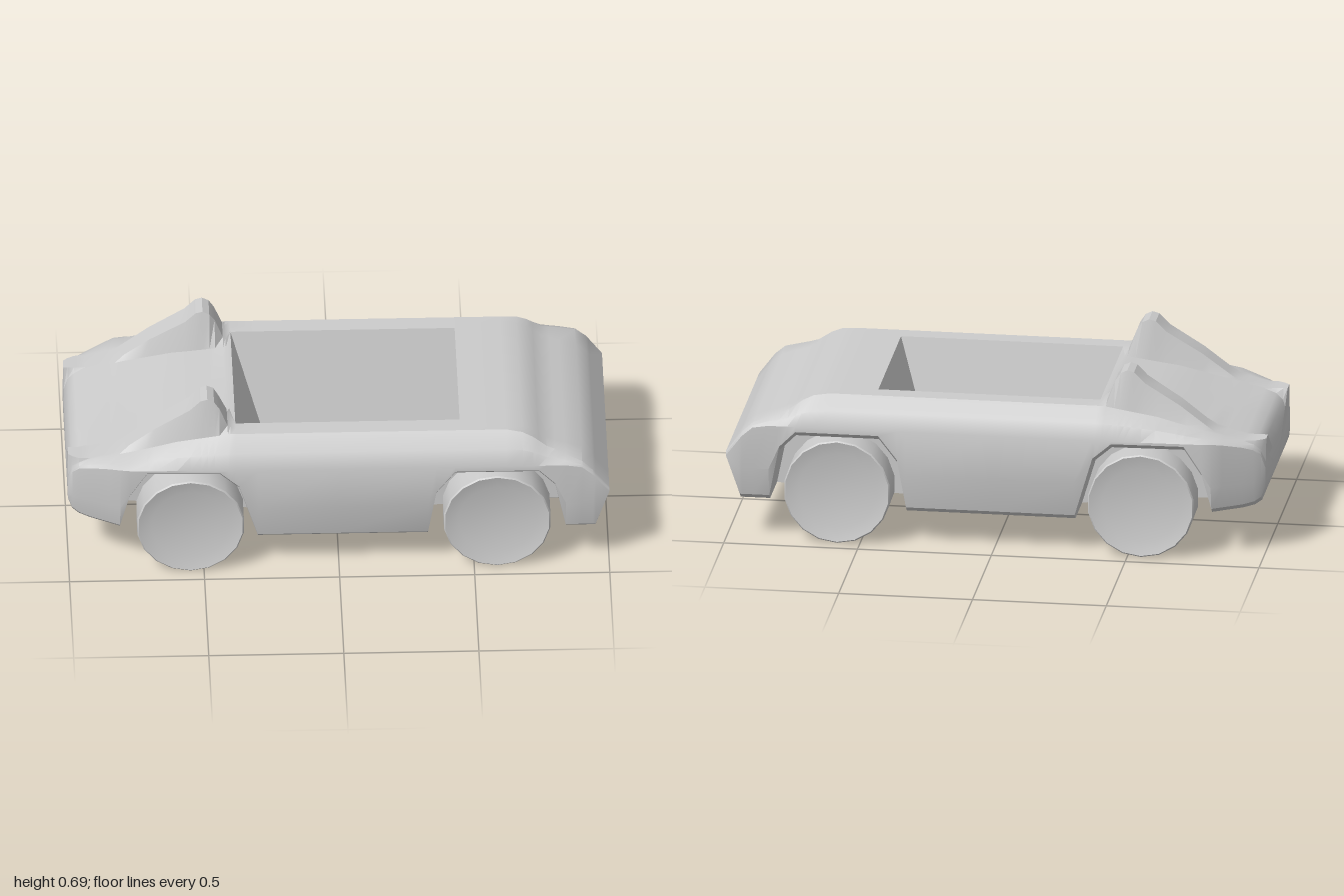
import * as THREE from 'three';
import { toCreasedNormals } from 'three/addons/utils/BufferGeometryUtils.js';

const { lerp } = THREE.MathUtils;

// Piecewise linear curve through [x, value] pairs
function curve(pairs) {
  return (x) => {
    if (x <= pairs[0][0]) return pairs[0][1];
    for (let i = 1; i < pairs.length; i++) {
      const [x0, v0] = pairs[i - 1], [x1, v1] = pairs[i];
      if (x <= x1) return lerp(v0, v1, (x - x0) / (x1 - x0));
    }
    return pairs[pairs.length - 1][1];
  };
}

// Lengthwise body curves (tail at -x, nose at +x)
const deckY = curve([[-1, 0.35], [-0.985, 0.4], [-0.96, 0.425], [-0.92, 0.44], [-0.78, 0.475], [-0.6, 0.525],
  [-0.4, 0.56], [0.62, 0.56], [0.68, 0.553], [0.72, 0.535], [0.77, 0.5], [0.9, 0.455], [0.94, 0.42], [1, 0.34]]);
const finY = curve([[-0.85, 0.44], [-0.78, 0.49], [-0.68, 0.565], [-0.55, 0.645], [-0.51, 0.685], [-0.485, 0.692],
  [-0.46, 0.68], [-0.44, 0.65], [-0.41, 0.575], [-0.39, 0.56], [0.5, 0.5], [1, 0.3]]);
const bellyY = curve([[-1, 0.24], [-0.985, 0.2], [-0.95, 0.178], [-0.81, 0.172], [-0.3, 0.125], [0.33, 0.125],
  [0.84, 0.15], [0.95, 0.15], [1, 0.31]]);
const archY = curve([[-0.81, 0.172], [-0.775, 0.32], [-0.71, 0.42], [-0.44, 0.42], [-0.37, 0.36], [-0.3, 0.125],
  [0.33, 0.125], [0.36, 0.32], [0.43, 0.41], [0.74, 0.41], [0.8, 0.35], [0.84, 0.15]]);
const halfWidth = curve([[-1, 0.33], [-0.98, 0.35], [-0.8, 0.44], [-0.4, 0.452], [0.95, 0.452], [1, 0.445]]);
const shoulderZ = curve([[-1, 0.31], [-0.97, 0.34], [-0.7, 0.36], [-0.4, 0.37], [0.63, 0.37], [0.8, 0.4],
  [0.92, 0.44], [1, 0.44]]);
const finInnerZ = curve([[-0.78, 0.26], [-0.55, 0.245], [-0.46, 0.24], [-0.39, 0.305]]);
const deckEdgeZ = curve([[-0.78, 0.245], [-0.55, 0.215], [-0.4, 0.2], [-0.38, 0.3], [0.45, 0.3], [1, 0.35]]);

const COCKPIT = { x0: -0.38, x1: 0.45, z: 0.3 };
const STATIONS = [-1, -0.985, -0.96, -0.92, -0.85, -0.81, -0.775, -0.71, -0.68, -0.6, -0.55, -0.51, -0.485,
  -0.46, -0.44, -0.41, -0.4, -0.38, -0.37, -0.3, 0, 0.33, 0.36, 0.43, 0.45, 0.62, 0.68, 0.72, 0.74, 0.77,
  0.8, 0.84, 0.9, 0.94, 0.95, 1];

// Half cross-section as [y, z], from belly centre round the side to deck centre
function halfSection(x) {
  const top = deckY(x), belly = bellyY(x), w = halfWidth(x), sh = Math.min(shoulderZ(x), w);
  const arch = Math.max(archY(x), belly), fin = Math.max(finY(x), top);
  const upper = Math.max(Math.min(0.45, top - 0.015), arch);
  const lip = Math.min(arch + 0.02, upper);
  const lower = Math.min(Math.max(0.28, lip), upper);
  const lipZ = w - 0.03 * THREE.MathUtils.clamp((0.28 - lip) / 0.13, 0, 1);
  const deckZ = deckEdgeZ(x);
  return [
    [belly, 0], [belly, 0.22], [arch, 0.22], [arch, lipZ - 0.025], [lip, lipZ],
    [lower, w], [upper, w], [lerp(upper, top, 0.55), lerp(w, sh, 0.3)], [top, sh],
    [fin, Math.min(0.335, sh - 0.005)], [fin, Math.min(finInnerZ(x), deckZ + 0.045)],
    [top, Math.min(deckZ, 0.3)], [top, 0],
  ];
}

function makeGeometry(positions, indices, crease) {
  const g = new THREE.BufferGeometry();
  g.setAttribute('position', new THREE.Float32BufferAttribute(positions, 3));
  g.setIndex(indices);
  return toCreasedNormals(g, crease);
}

// Body skin lofted through the stations, left open over the cockpit
function bodyGeometry() {
  const pos = [], idx = [];
  let n = 0, half = 0;
  for (const x of STATIONS) {
    const h = halfSection(x);
    const ring = [...h, ...h.slice(1, -1).reverse().map(([y, z]) => [y, -z])];
    half = h.length;
    n = ring.length;
    for (const [y, z] of ring) pos.push(x, y, z);
  }
  for (let i = 0; i < STATIONS.length - 1; i++) {
    const open = STATIONS[i] >= COCKPIT.x0 && STATIONS[i + 1] <= COCKPIT.x1;
    for (let j = 0; j < n; j++) {
      if (open && (j === half - 2 || j === half - 1)) continue;
      const k = (j + 1) % n, a = i * n, b = a + n;
      idx.push(a + j, b + j, b + k, a + j, b + k, a + k);
    }
  }
  const last = (STATIONS.length - 1) * n;
  for (let j = 1; j < n - 1; j++) {
    idx.push(0, j, j + 1);
    idx.push(last, last + j + 1, last + j);
  }
  return makeGeometry(pos, idx, 0.5);
}

// Tapered cockpit tub with its floor
function tubGeometry() {
  const pos = [], idx = [];
  const loop = (x0, x1, z, y) => pos.push(x0, y, -z, x0, y, z, x1, y, z, x1, y, -z);
  loop(COCKPIT.x0, COCKPIT.x1, COCKPIT.z, 0.56);
  loop(-0.26, 0.33, 0.2, 0.17);
  for (let j = 0; j < 4; j++) {
    const k = (j + 1) % 4;
    idx.push(j, k, k + 4, j, k + 4, j + 4);
  }
  idx.push(4, 5, 6, 4, 6, 7);
  return makeGeometry(pos, idx, 0.1);
}

// Wheel turned about its axle, outer face towards +z
function wheelGeometry() {
  const profile = [[0, -0.065], [0.19, -0.065], [0.2, -0.06], [0.2, 0.06], [0.195, 0.065],
    [0.145, 0.052], [0, 0.052]].map(([r, h]) => new THREE.Vector2(r, h));
  const g = new THREE.LatheGeometry(profile, 18);
  g.rotateX(Math.PI / 2);
  return toCreasedNormals(g, 0.4);
}

export function createModel() {
  const group = new THREE.Group();
  const material = new THREE.MeshStandardMaterial({ color: 0xcccccc });
  const doubleSided = new THREE.MeshStandardMaterial({ color: 0xcccccc, side: THREE.DoubleSide });
  const add = (name, geometry, mat = material) => {
    const mesh = new THREE.Mesh(geometry, mat);
    mesh.name = name;
    group.add(mesh);
    return mesh;
  };

  add('body', bodyGeometry());
  add('cockpitTub', tubGeometry(), doubleSided);

  const wheel = wheelGeometry();
  for (const [end, x] of [['rear', -0.55], ['nose', 0.585]]) {
    for (const side of [1, -1]) {
      const mesh = add(`${end}Wheel${side > 0 ? 'NearSide' : 'FarSide'}`, wheel);
      mesh.position.set(x, 0.2, side * 0.38);
      if (side < 0) mesh.rotation.y = Math.PI;
    }
  }
  return group;
}
